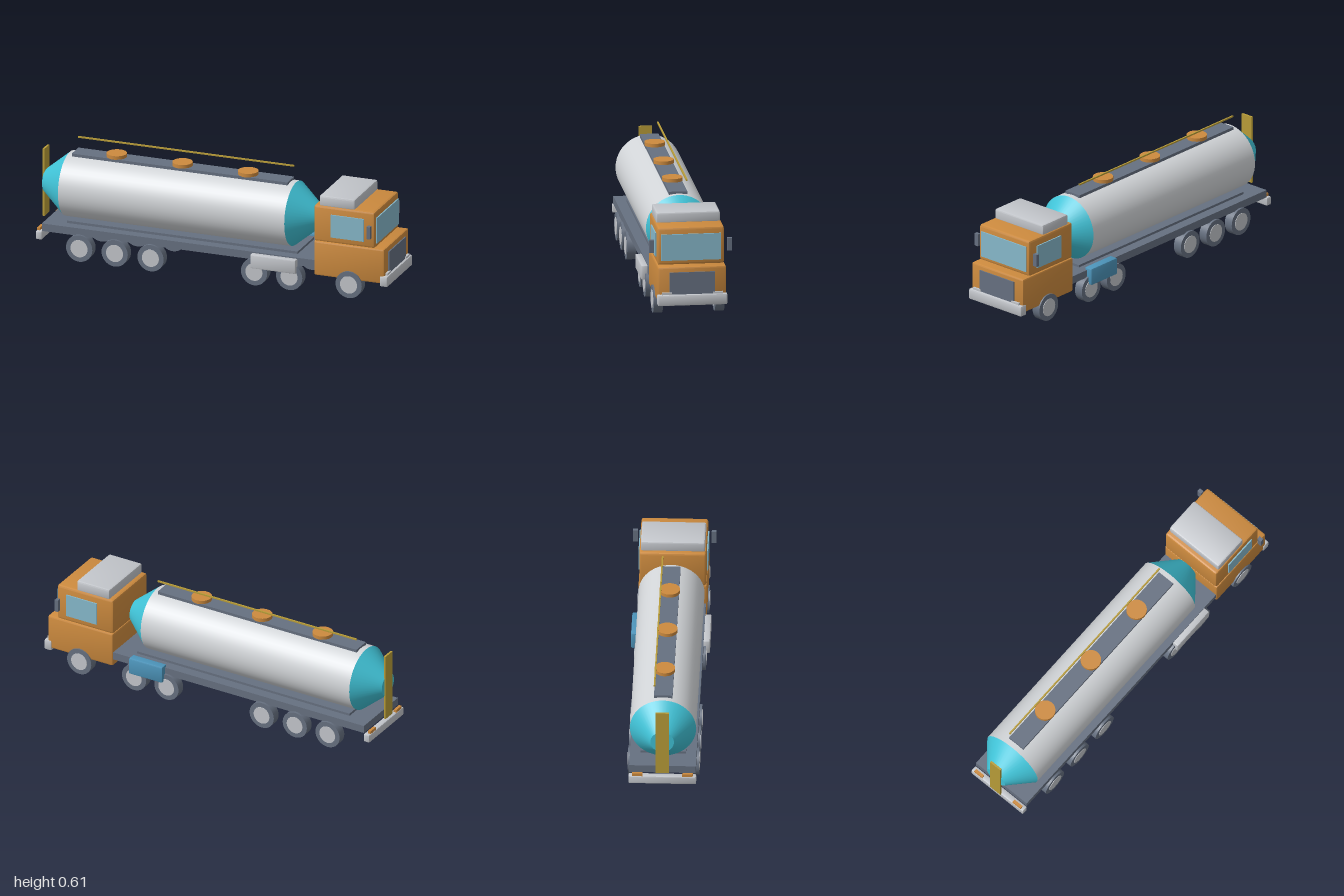
import * as THREE from 'three';
import { RoundedBoxGeometry } from 'three/addons/geometries/RoundedBoxGeometry.js';
import { toCreasedNormals } from 'three/addons/utils/BufferGeometryUtils.js';

function paint(name, color) {
  const m = new THREE.MeshStandardMaterial({ color });
  m.name = name;
  return m;
}

export function createModel() {
  const truck = new THREE.Group();
  truck.name = 'tankerTruck';
  const orange = paint('orange', 0xcc8a3e);
  const lightGrey = paint('lightGrey', 0xc2c5ca);
  const silver = paint('silver', 0xd2d5d8);
  const slate = paint('slate', 0x667080);
  const teal = paint('teal', 0x40c2d6);
  const glass = paint('glass', 0x86b8ca);
  const blue = paint('blue', 0x4c94ba);
  const yellow = paint('yellow', 0xb89c38);

  function add(name, geometry, material, x = 0, y = 0, z = 0) {
    const mesh = new THREE.Mesh(geometry, material);
    mesh.name = name;
    mesh.position.set(x, y, z);
    truck.add(mesh);
    return mesh;
  }
  // Box given by its limits on each axis; bevel > 0 chamfers the edges
  function box(name, material, [x0, x1], [y0, y1], [z0, z1], bevel = 0) {
    const size = [x1 - x0, y1 - y0, z1 - z0];
    const geometry = bevel
      ? toCreasedNormals(new RoundedBoxGeometry(...size, 1, bevel), 0.4)
      : new THREE.BoxGeometry(...size);
    return add(name, geometry, material, (x0 + x1) / 2, (y0 + y1) / 2, (z0 + z1) / 2);
  }

  // Chassis deck and tank bed
  box('chassis', slate, [-0.95, 0.6], [0.14, 0.182], [-0.175, 0.175]);
  box('tankBed', slate, [-0.83, 0.47], [0.182, 0.195], [-0.12, 0.12]);

  // Tank: barrel with two tapered ends
  const tankY = 0.361, tankR = 0.174, endR = 0.062;
  function tankPart(name, material, x0, x1, r0, r1) {
    const g = new THREE.CylinderGeometry(r1, r0, x1 - x0, 48);
    g.rotateZ(-Math.PI / 2);
    add(name, g, material, (x0 + x1) / 2, tankY, 0);
  }
  tankPart('tankBarrel', silver, -0.86, 0.415, tankR, tankR);
  tankPart('tankRearCone', teal, -0.993, -0.86, endR, tankR);
  tankPart('tankFrontCone', teal, 0.415, 0.55, tankR, endR);

  // Walkway, hatches and handrail on top of the tank
  box('walkway', slate, [-0.83, 0.385], [0.53, 0.546], [-0.049, 0.049]);
  for (const x of [-0.595, -0.225, 0.145]) {
    add('hatchNeck', new THREE.CylinderGeometry(0.035, 0.035, 0.02, 32), orange, x, 0.54, 0);
    add('hatchLid', new THREE.CylinderGeometry(0.054, 0.054, 0.02, 32), orange, x, 0.555, 0);
  }
  box('handrail', yellow, [-0.83, 0.385], [0.603, 0.611], [-0.05, -0.042]);
  box('rearLadder', yellow, [-1, -0.989], [0.17, 0.546], [-0.035, 0.035]);

  // Cab
  box('cabLower', orange, [0.583, 0.98], [0.1, 0.292], [-0.18, 0.18], 0.009);
  box('cabUpper', orange, [0.583, 0.925], [0.29, 0.492], [-0.176, 0.176], 0.012);
  box('roofBox', lightGrey, [0.61, 0.81], [0.485, 0.545], [-0.169, 0.169], 0.009);
  box('windshield', glass, [0.923, 0.932], [0.315, 0.457], [-0.158, 0.158]);
  box('grille', slate, [0.978, 0.987], [0.143, 0.264], [-0.12, 0.12]);
  box('frontBumper', lightGrey, [0.955, 1], [0.086, 0.145], [-0.185, 0.185], 0.008);
  box('rearBumper', lightGrey, [-0.985, -0.95], [0.09, 0.136], [-0.178, 0.178], 0.006);

  // Paired details
  for (const s of [-1, 1]) {
    const across = (a, b) => (s > 0 ? [a, b] : [-b, -a]);
    box('sideWindow', glass, [0.68, 0.866], [0.324, 0.45], across(0.175, 0.183));
    box('mirror', slate, [0.895, 0.915], [0.356, 0.424], across(0.194, 0.219));
    box('headlight', lightGrey, [0.978, 0.992], [0.14, 0.156], across(0.109, 0.161));
    box('tailLight', orange, [-0.982, -0.966], [0.134, 0.151], across(0.105, 0.16));
  }

  // Side lockers
  box('leftLocker', lightGrey, [0.235, 0.49], [0.1, 0.177], [0.172, 0.208], 0.006);
  box('rightLocker', blue, [0.265, 0.468], [0.103, 0.196], [-0.208, -0.16], 0.006);

  // Six axles, each wheel a tyre with a hub showing on both faces
  const tyre = new THREE.CylinderGeometry(0.074, 0.074, 0.049, 36).rotateX(Math.PI / 2);
  const hub = new THREE.CylinderGeometry(0.048, 0.048, 0.054, 28).rotateX(Math.PI / 2);
  for (const x of [-0.735, -0.535, -0.333, 0.25, 0.448, 0.783]) {
    for (const s of [-1, 1]) {
      add('tyre', tyre, slate, x, 0.074, s * 0.163);
      add('hub', hub, lightGrey, x, 0.074, s * 0.163);
    }
  }
  return truck;
}
